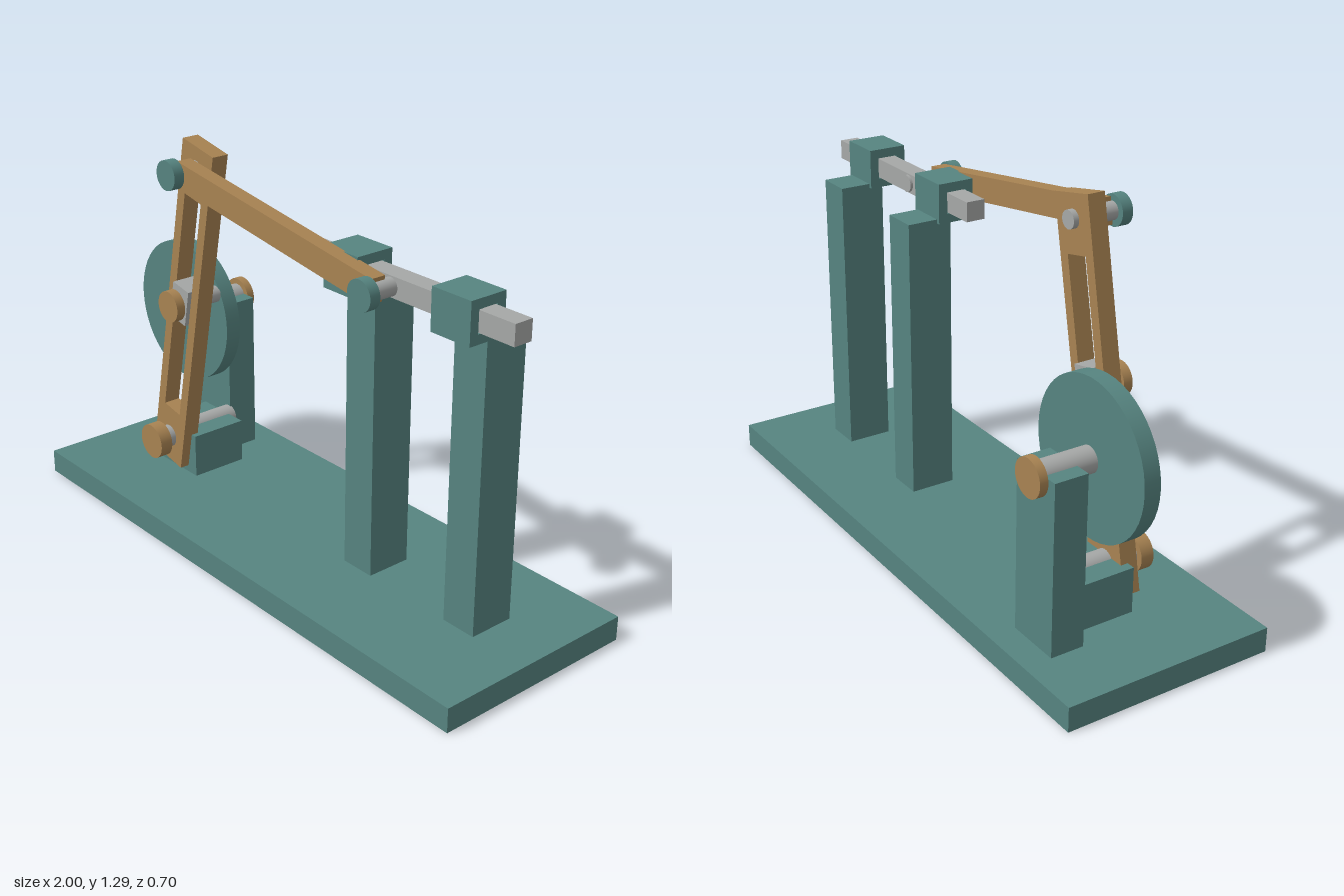
import * as THREE from 'three';

export function createModel() {
  const model = new THREE.Group();
  model.name = 'crankMechanism';

  const mat = (name, color) => {
    const m = new THREE.MeshStandardMaterial({ color });
    m.name = name;
    return m;
  };
  const teal = mat('teal', 0x568480);
  const brown = mat('brown', 0xa88352);
  const steel = mat('steel', 0xa6a8a7);

  const add = (name, geometry, material, parent = model) => {
    const mesh = new THREE.Mesh(geometry, material);
    mesh.name = name;
    parent.add(mesh);
    return mesh;
  };
  // Box given by its extents on each axis
  const box = (name, material, [x0, x1], [y0, y1], [z0, z1], parent) => {
    const mesh = add(name, new THREE.BoxGeometry(x1 - x0, y1 - y0, z1 - z0), material, parent);
    mesh.position.set((x0 + x1) / 2, (y0 + y1) / 2, (z0 + z1) / 2);
    return mesh;
  };
  // Round part lying along z
  const disc = (name, material, [x, y], r, [z0, z1]) => {
    const geo = new THREE.CylinderGeometry(r, r, z1 - z0, 48).rotateX(Math.PI / 2);
    const mesh = add(name, geo, material);
    mesh.position.set(x, y, (z0 + z1) / 2);
    return mesh;
  };
  // Rectangular outline for shapes and holes
  const rect = (Type, x0, x1, y0, y1) => new Type().moveTo(x0, y0).lineTo(x1, y0)
    .lineTo(x1, y1).lineTo(x0, y1).closePath();
  const frame = (outer, hole, depth) => {
    const shape = rect(THREE.Shape, ...outer);
    shape.holes.push(rect(THREE.Path, ...hole));
    return new THREE.ExtrudeGeometry(shape, { depth, bevelEnabled: false });
  };

  // Joint centres
  const pivot = [-0.62, 0.208];
  const wheelCentre = [-0.70, 0.615];
  const crank = [-0.515, 0.73];
  const leverTop = [-0.42, 1.205];
  const slideJoint = [0.475, 1.072];

  box('base', teal, [-1, 1], [0, 0.08], [-0.35, 0.35]);

  // Two columns with square-bored bearings
  for (const x of [0.303, 0.742]) {
    box('column', teal, [x - 0.06, x + 0.06], [0.08, 1.02], [-0.097, 0.055]);
    const s = 0.065, h = 0.035;
    const bearing = add('bearing', frame([-s, s, -s, s], [-h, h, -h, h], 0.146)
      .translate(0, 0, -0.073).rotateY(Math.PI / 2), teal);
    bearing.position.set(x, 1.072, 0.071);
  }
  box('slidingBar', steel, [0.12, 0.94], [1.04, 1.104], [0.039, 0.103]);

  // Wheel, its support and its shaft
  box('wheelSupport', teal, [-0.79, -0.61], [0.08, 0.63], [-0.26, -0.15]);
  disc('wheel', teal, wheelCentre, 0.245, [-0.082, -0.028]);
  disc('wheelShaft', steel, wheelCentre, 0.041, [-0.262, -0.08]);
  disc('wheelShaftCap', brown, wheelCentre, 0.06, [-0.287, -0.26]);

  // Lever pivot
  box('pivotBlock', teal, [-0.725, -0.515], [0.08, 0.23], [-0.127, 0.073]);
  disc('pivotPin', steel, pivot, 0.038, [-0.155, 0.142]);
  disc('pivotCap', brown, pivot, 0.06, [0.138, 0.182]);

  // Slotted lever and the block sliding in it, tilted about the pivot
  const lever = new THREE.Group();
  lever.name = 'leverAssembly';
  lever.position.set(...pivot, 0);
  lever.rotation.z = -Math.atan2(leverTop[0] - pivot[0], leverTop[1] - pivot[1]);
  model.add(lever);
  add('slottedLever', frame([-0.079, 0.079, -0.09, 1.09], [-0.043, 0.043, 0.11, 0.913], 0.058)
    .translate(0, 0, 0.048), brown, lever);
  box('slotBlock', steel, [-0.042, 0.042], [0.469, 0.595], [0.035, 0.12], lever);

  // Crank pin
  disc('crankPin', steel, crank, 0.028, [-0.03, 0.138]);
  disc('crankCap', brown, crank, 0.053, [0.134, 0.165]);

  // Connecting rod with a pin and cap at each end
  const dx = slideJoint[0] - leverTop[0], dy = slideJoint[1] - leverTop[1];
  const rod = add('connectingRod', new THREE.BoxGeometry(Math.hypot(dx, dy), 0.082, 0.052), brown);
  rod.position.set(leverTop[0] + dx / 2, leverTop[1] + dy / 2, 0.155);
  rod.rotation.z = Math.atan2(dy, dx);
  for (const joint of [leverTop, slideJoint]) {
    disc('rodPin', steel, joint, 0.028, [0.03, 0.188]);
    disc('rodCap', teal, joint, 0.048, [0.184, 0.22]);
  }

  return model;
}
